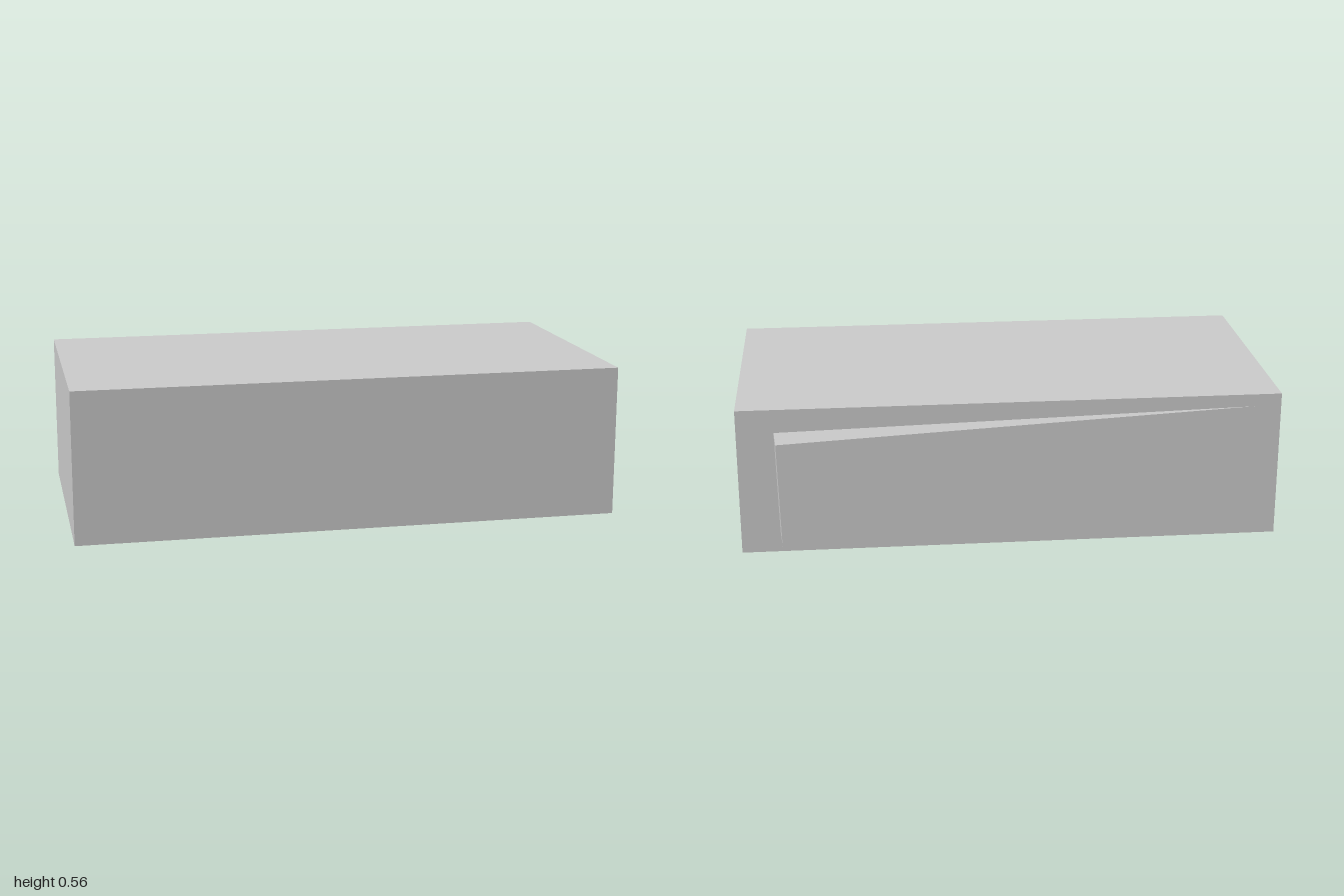
import * as THREE from 'three';

export function createModel() {
  const group = new THREE.Group();
  const grey = new THREE.MeshStandardMaterial({ color: 0xcccccc });
  grey.name = 'light grey';

  function addBox(name, w, h, d) {
    const mesh = new THREE.Mesh(new THREE.BoxGeometry(w, h, d), grey);
    mesh.name = name;
    group.add(mesh);
    return mesh;
  }

  // Main block
  addBox('body', 2, 0.556, 1).position.set(0, 0.278, 0.08);

  // Skewed slab half sunk into the back, standing out further at +x
  const length = 1.78, height = 0.386, depth = 0.3;
  const along = new THREE.Vector3(1.77, -0.035, -0.143).normalize();
  const inward = new THREE.Vector3().crossVectors(along, new THREE.Vector3(0.02, 0.998, 0.047)).normalize();
  const up = new THREE.Vector3().crossVectors(inward, along);
  const slab = addBox('tiltedBackSlab', length, height, depth);
  slab.quaternion.setFromRotationMatrix(new THREE.Matrix4().makeBasis(along, up, inward));

  // Placed from its upper outer corner
  slab.position.set(0.853, 0.475, -0.562)
    .addScaledVector(along, -length / 2)
    .addScaledVector(up, -height / 2)
    .addScaledVector(inward, depth / 2);

  return group;
}
